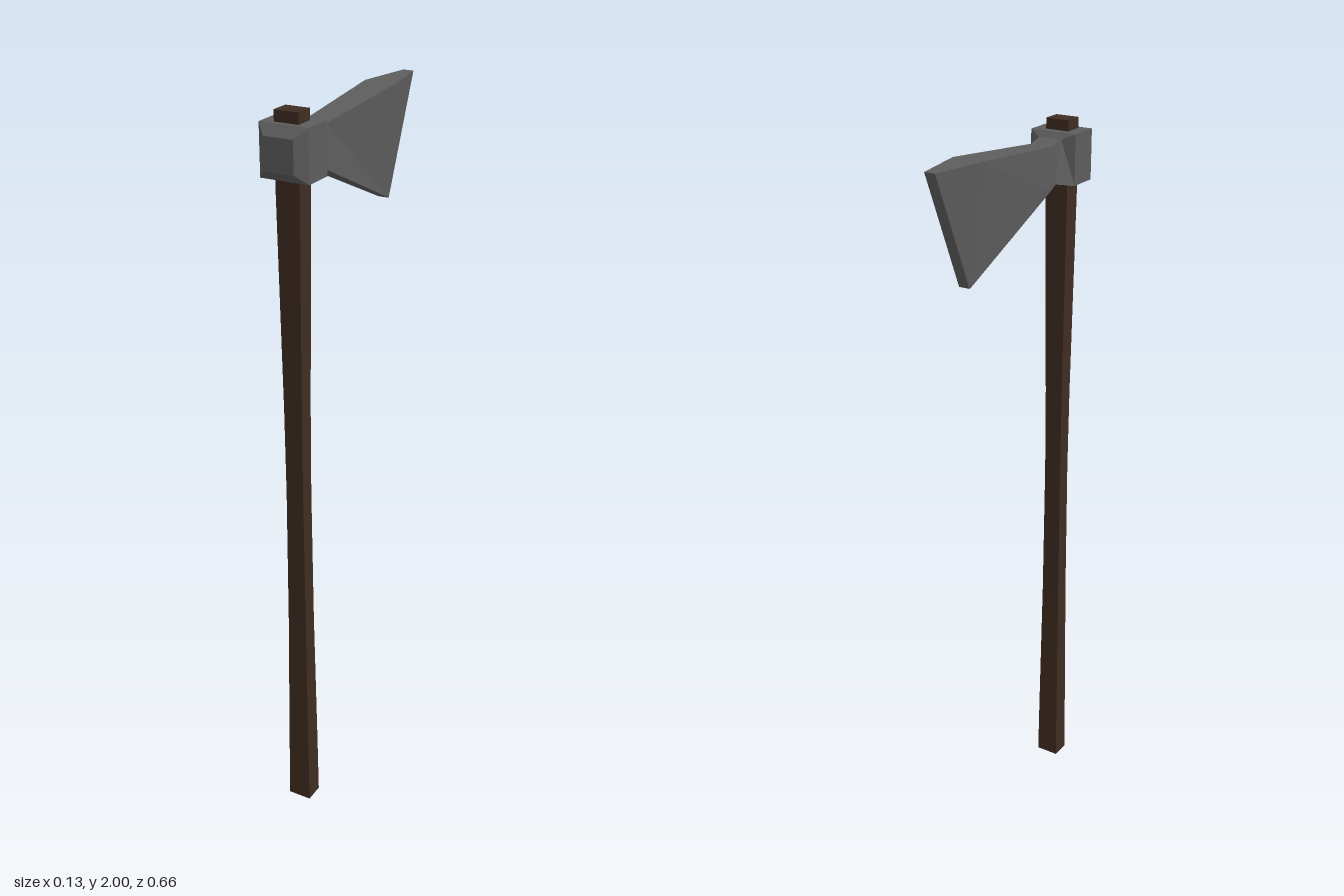
import * as THREE from 'three';

// Skin a closed solid over four-cornered rings, capped at both ends.
function loft(rings, material, name) {
  const pos = rings.flat(2);
  const index = [];
  for (let r = 0; r < rings.length - 1; r++) {
    for (let i = 0; i < 4; i++) {
      const a = r * 4 + i, b = r * 4 + (i + 1) % 4;
      index.push(a, b, b + 4, a, b + 4, a + 4);
    }
  }
  const e = (rings.length - 1) * 4;
  index.push(0, 2, 1, 0, 3, 2, e, e + 1, e + 2, e, e + 2, e + 3);
  const indexed = new THREE.BufferGeometry();
  indexed.setAttribute('position', new THREE.Float32BufferAttribute(pos, 3));
  indexed.setIndex(index);
  const geometry = indexed.toNonIndexed();
  geometry.computeVertexNormals();
  const mesh = new THREE.Mesh(geometry, material);
  mesh.name = name;
  return mesh;
}

// Horizontal ring of the shaft.
const SHAFT_Z = 0.266;
const shaftRing = ([y, hx, hz]) => [
  [-hx, y, SHAFT_Z + hz], [hx, y, SHAFT_Z + hz],
  [hx, y, SHAFT_Z - hz], [-hx, y, SHAFT_Z - hz],
];

// Upright ring of the head; its top and bottom edges have their own depth and width.
const headRing = ([zTop, yTop, hxTop, zBot, yBot, hxBot]) => [
  [hxBot, yBot, zBot], [-hxBot, yBot, zBot],
  [-hxTop, yTop, zTop], [hxTop, yTop, zTop],
];

export function createModel() {
  const wood = new THREE.MeshStandardMaterial({ color: 0x3f2d22, flatShading: true });
  wood.name = 'dark wood';
  const steel = new THREE.MeshStandardMaterial({ color: 0x5d5d5d, flatShading: true });
  steel.name = 'grey steel';

  const axe = new THREE.Group();
  axe.name = 'axe';

  // Long shaft, slightly waisted in the middle
  axe.add(loft([
    [0, 0.033, 0.027],
    [0.2, 0.031, 0.026],
    [0.6, 0.027, 0.022],
    [1.0, 0.025, 0.021],
    [1.24, 0.026, 0.022],
    [1.5, 0.029, 0.024],
    [1.82, 0.033, 0.026],
    [2.0, 0.033, 0.026],
  ].map(shaftRing), wood, 'handle'));

  // Socket, neck and flaring blade in one forged piece, from poll to cutting edge
  axe.add(loft([
    [0.33, 1.947, 0.04, 0.33, 1.865, 0.04],
    [0.305, 1.972, 0.066, 0.305, 1.84, 0.066],
    [0.22, 1.972, 0.066, 0.22, 1.84, 0.066],
    [0.205, 1.957, 0.033, 0.18, 1.848, 0.033],
    [0.16, 1.948, 0.031, 0.155, 1.833, 0.031],
    [-0.172, 1.977, 0.044, -0.193, 1.672, 0.017],
    [-0.33, 1.977, 0.015, -0.197, 1.67, 0.015],
  ].map(headRing), steel, 'axeHead'));

  return axe;
}
